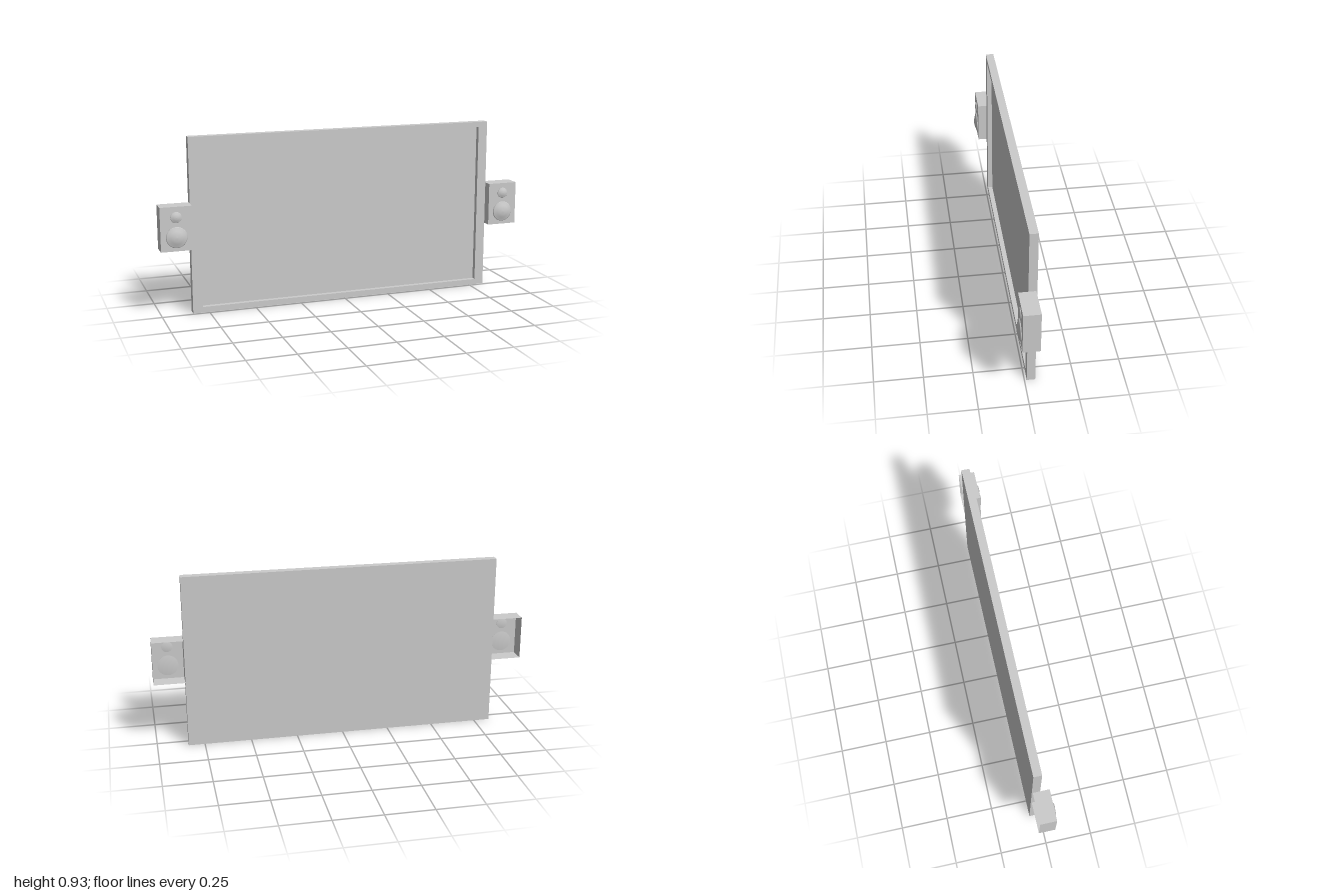
import * as THREE from 'three';

const grey = new THREE.MeshStandardMaterial({ color: 0xcccccc });
const greyThin = new THREE.MeshStandardMaterial({ color: 0xcccccc, side: THREE.DoubleSide });

function add(parent, name, geometry, material, x, y, z) {
  const mesh = new THREE.Mesh(geometry, material);
  mesh.name = name;
  mesh.position.set(x, y, z);
  parent.add(mesh);
  return mesh;
}

function rectangle(Path, x0, x1, y0, y1) {
  return new Path([[x0, y0], [x1, y0], [x1, y1], [x0, y1]].map(([x, y]) => new THREE.Vector2(x, y)));
}

// Round driver: short rim and shallow dome, pointing to +z
function driver(radius, rim, height) {
  const profile = [
    [0, -0.003], [radius, -0.003], [radius, rim * 0.6], [radius * 0.93, rim],
    [radius * 0.84, rim], [radius * 0.6, rim + (height - rim) * 0.55],
    [radius * 0.3, rim + (height - rim) * 0.9], [0, height],
  ].map(([r, h]) => new THREE.Vector2(r, h));
  return new THREE.LatheGeometry(profile, 32).rotateX(Math.PI / 2);
}

// Cabinet open at the back, with two drivers on its face
function speaker(name, x) {
  const group = new THREE.Group();
  group.name = name;
  const cabinet = new THREE.BoxGeometry(0.164, 0.232, 0.087);
  cabinet.setIndex(Array.from(cabinet.index.array).slice(0, 30)); // drop the back face
  cabinet.clearGroups();
  add(group, 'cabinet', cabinet, greyThin, 0, 0.471, -0.0065);
  add(group, 'woofer', driver(0.055, 0.006, 0.017), greyThin, 0, 0.428, 0.037);
  add(group, 'tweeter', driver(0.029, 0.004, 0.01), greyThin, 0, 0.532, 0.037);
  group.position.x = x;
  return group;
}

export function createModel() {
  const model = new THREE.Group();
  model.name = 'flatScreenWithSpeakers';

  const width = 1.672, height = 0.93, back = -0.055, front = -0.012, recess = 0.026;

  // Screen panel with the raised bezel around it
  const panelDepth = front - back - recess;
  add(model, 'screenPanel', new THREE.BoxGeometry(width, height, panelDepth), grey,
    0, height / 2, back + panelDepth / 2);

  const bezel = rectangle(THREE.Shape, -width / 2, width / 2, 0, height);
  bezel.holes.push(rectangle(THREE.Path, -0.785, 0.785, 0.03, 0.903));
  add(model, 'bezel', new THREE.ExtrudeGeometry(bezel, { depth: recess, bevelEnabled: false }), grey,
    0, 0, front - recess);

  // Speakers on both sides
  model.add(speaker('rightSpeaker', -0.918), speaker('leftSpeaker', 0.918));
  return model;
}
